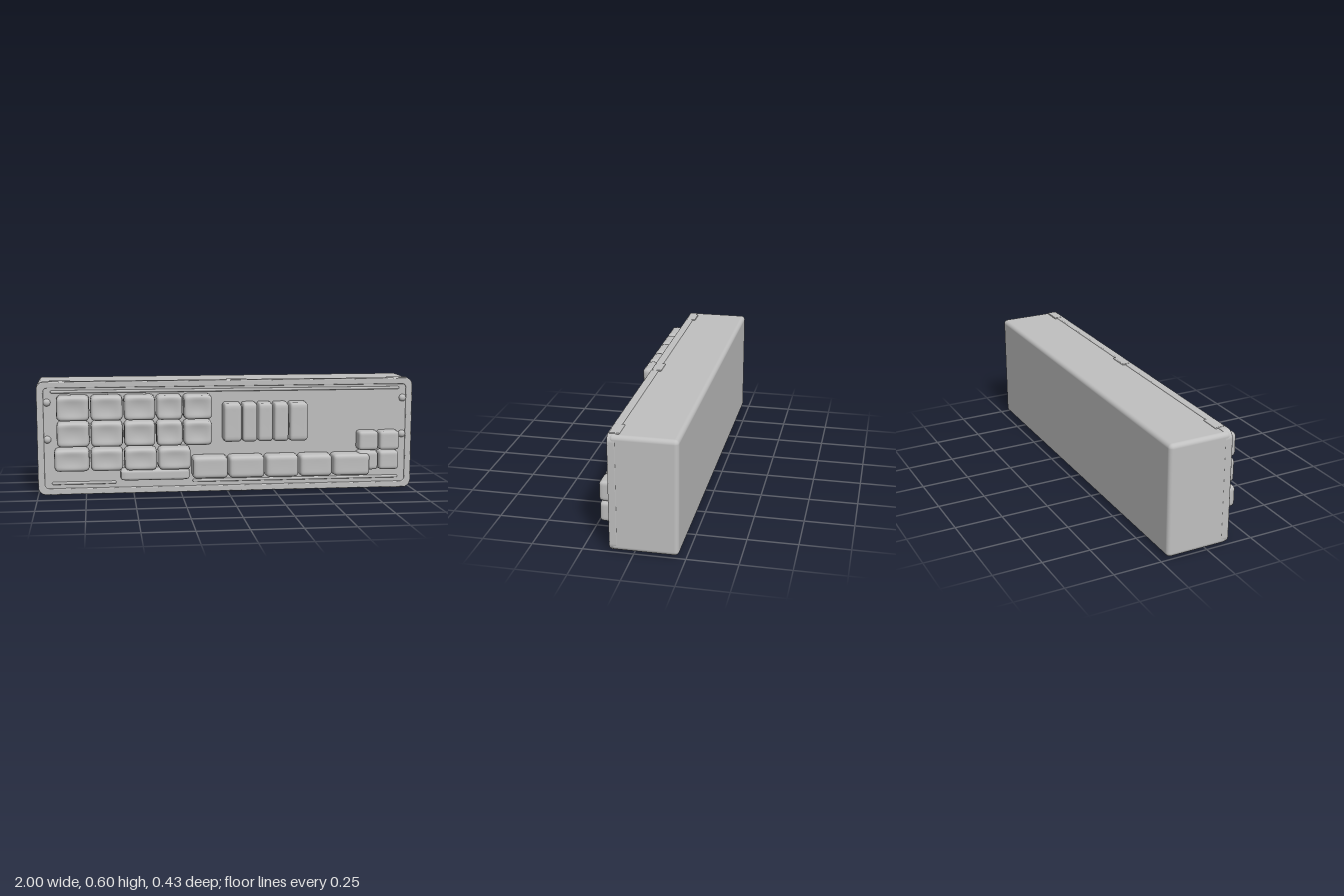
import * as THREE from 'three';
import { RoundedBoxGeometry } from 'three/addons/geometries/RoundedBoxGeometry.js';
import { mergeVertices } from 'three/addons/utils/BufferGeometryUtils.js';

const grey = new THREE.MeshStandardMaterial({ color: 0xc0c0c0 });
grey.name = 'plainGrey';

const PANEL_Z = 0.113;

// Soft keycap: a box with rounded edges, a slight taper and a dished front
function keyGeometry(w, h, d, r, dish) {
  const g = new THREE.BoxGeometry(w, h, d, 14, 14, 8);
  g.deleteAttribute('uv');
  g.deleteAttribute('normal');
  const p = g.attributes.position;
  const v = new THREE.Vector3(), core = new THREE.Vector3();
  const limit = new THREE.Vector3(w / 2 - r, h / 2 - r, d / 2 - r);
  for (let i = 0; i < p.count; i++) {
    v.fromBufferAttribute(p, i);
    core.copy(v).clamp(limit.clone().negate(), limit);
    v.sub(core);
    if (v.lengthSq() > 0) v.setLength(r);
    v.add(core);
    const u = (2 * v.x) / w, t = (2 * v.y) / h, front = Math.max(0, (2 * v.z) / d);
    v.x *= 1 - 0.03 * front;
    v.y *= 1 - 0.03 * front;
    v.z -= dish * front * Math.max(0, 1 - u * u) * Math.max(0, 1 - t * t);
    p.setXYZ(i, v.x, v.y, v.z);
  }
  const merged = mergeVertices(g, 1e-5);
  merged.computeVertexNormals();
  return merged;
}

function roundedRect(path, x0, y0, x1, y1, r) {
  path.moveTo(x0 + r, y0);
  path.lineTo(x1 - r, y0);
  path.absarc(x1 - r, y0 + r, r, -Math.PI / 2, 0);
  path.lineTo(x1, y1 - r);
  path.absarc(x1 - r, y1 - r, r, 0, Math.PI / 2);
  path.lineTo(x0 + r, y1);
  path.absarc(x0 + r, y1 - r, r, Math.PI / 2, Math.PI);
  path.lineTo(x0, y0 + r);
  path.absarc(x0 + r, y0 + r, r, Math.PI, Math.PI * 1.5);
  return path;
}

export function createModel() {
  const model = new THREE.Group();
  model.name = 'keyPanelBox';

  function add(parent, name, geometry, x, y, z) {
    const mesh = new THREE.Mesh(geometry, grey);
    mesh.name = name;
    mesh.position.set(x, y, z);
    parent.add(mesh);
    return mesh;
  }

  // Main housing
  add(model, 'housing', new RoundedBoxGeometry(1.998, 0.586, 0.33, 4, 0.022), 0, 0.3, -0.05);

  // Raised lip around the front panel
  const lip = roundedRect(new THREE.Shape(), -0.995, 0.007, 0.995, 0.593, 0.035);
  lip.holes.push(roundedRect(new THREE.Path(), -0.97, 0.03, 0.97, 0.57, 0.025));
  add(model, 'frontLip', new THREE.ExtrudeGeometry(lip, {
    depth: 0.03, bevelEnabled: true, bevelSize: 0.005, bevelThickness: 0.005, bevelSegments: 3, curveSegments: 8,
  }), 0, 0, 0.085);

  // Shallow ridges along the panel
  for (const [y, x0, x1] of [[0.545, -0.92, 0.92], [0.062, -0.92, -0.6], [0.062, -0.18, 0.92]]) {
    const ridge = new THREE.CapsuleGeometry(0.008, x1 - x0, 4, 10);
    ridge.rotateZ(Math.PI / 2);
    add(model, 'panelRidge', ridge, (x0 + x1) / 2, y, PANEL_Z + 0.001);
  }

  // Small swellings on the top and bottom edges
  for (const x of [-0.88, 0.05, 0.92]) {
    for (const y of [0.005, 0.595]) {
      add(model, 'edgeTab', new RoundedBoxGeometry(0.11, 0.01, 0.05, 2, 0.004), x, y, 0.09);
    }
  }

  // Domed studs at both ends
  for (const side of [-1, 1]) {
    for (const y of [0.49, 0.295]) {
      const stud = new THREE.SphereGeometry(0.02, 16, 12);
      stud.scale(1, 1, 0.8);
      add(model, 'stud', stud, side * 0.947, y, PANEL_Z);
    }
  }

  // A row of keys between consecutive x edges
  function keyRow(name, edges, y0, y1, top, dish, r) {
    const row = new THREE.Group();
    row.name = name;
    const gap = 0.005, z0 = 0.095;
    for (let i = 0; i < edges.length - 1; i++) {
      const w = edges[i + 1] - edges[i] - gap;
      add(row, 'key', keyGeometry(w, y1 - y0 - gap, top - z0, r, dish),
        (edges[i] + edges[i + 1]) / 2, (y0 + y1) / 2, (top + z0) / 2);
    }
    model.add(row);
  }

  const columns = [-0.9, -0.725, -0.553, -0.385, -0.243, -0.088];
  keyRow('upperKeyRow', columns, 0.397, 0.533, 0.217, 0.014, 0.024);
  keyRow('middleKeyRow', columns, 0.261, 0.397, 0.215, 0.014, 0.024);
  keyRow('lowerKeyRow', [-0.915, -0.727, -0.553, -0.377, -0.2], 0.134, 0.257, 0.215, 0.012, 0.024);
  keyRow('wideBar', [-0.575, -0.205], 0.08, 0.142, 0.2, 0, 0.014);
  keyRow('bottomKeyRow', [-0.197, -0.005, 0.19, 0.372, 0.552, 0.757], 0.083, 0.205, 0.21, 0.002, 0.02);
  keyRow('tallKeyRow', [-0.032, 0.067, 0.15, 0.233, 0.317, 0.42], 0.273, 0.485, 0.201, 0.001, 0.016);
  const cluster = [0.693, 0.806, 0.92];
  keyRow('clusterUpperRow', cluster, 0.214, 0.322, 0.187, 0.001, 0.016);
  keyRow('clusterLowerRow', cluster, 0.108, 0.214, 0.185, 0.001, 0.016);

  return model;
}
